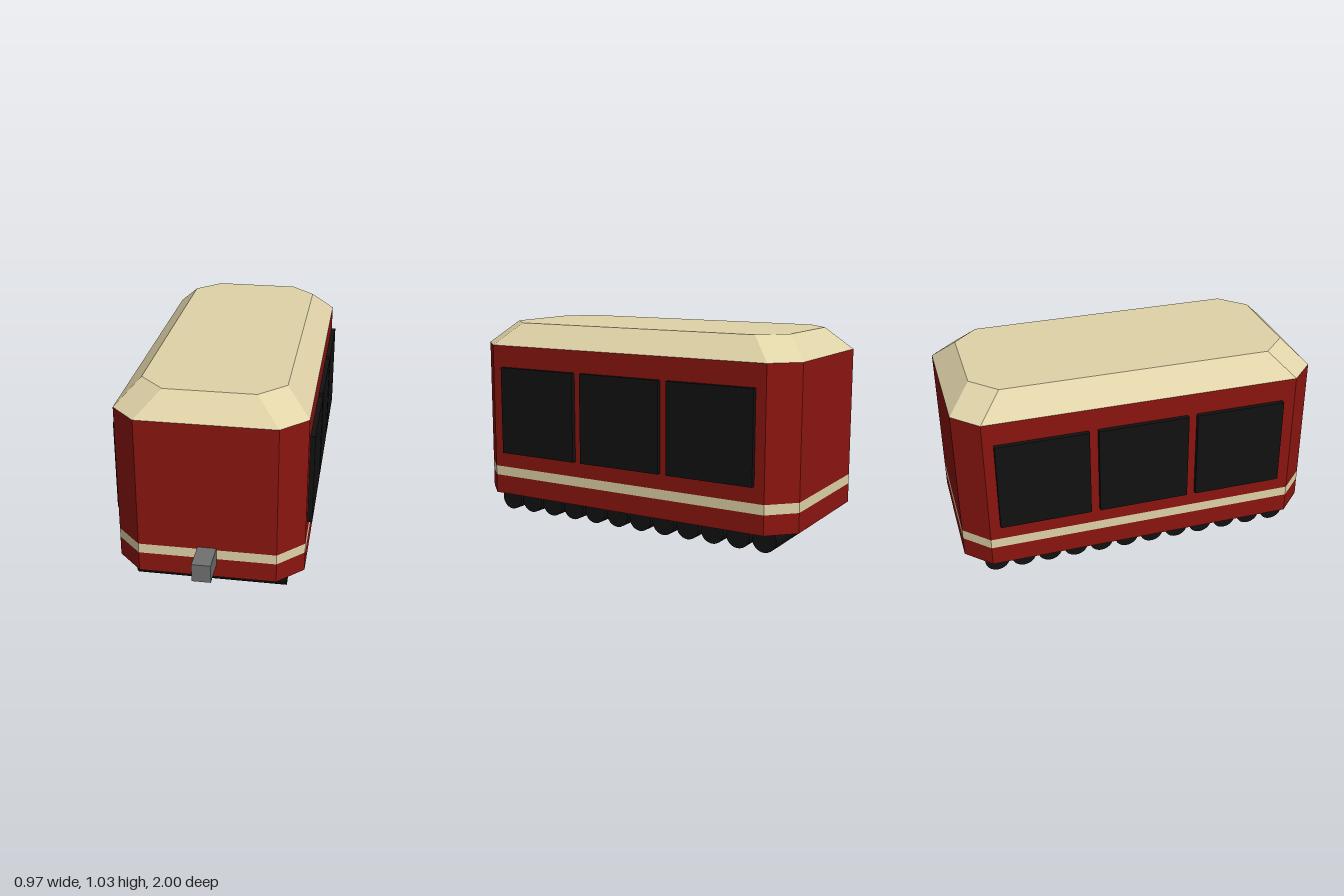
import * as THREE from 'three';

const BODY_Z = -0.075; // body centre, shifted back by the coupler
const CUT = 0.125; // corner chamfer

const mat = (color, flatShading = false) => new THREE.MeshStandardMaterial({ color, flatShading });

// Chamfered rectangle, counter-clockwise from above
function octagon(hx, hz, y) {
  const a = hx - CUT, b = hz - CUT;
  return [[-a, hz], [a, hz], [hx, b], [hx, -b], [a, -hz], [-a, -hz], [-hx, -b], [-hx, b]]
    .map(([x, z]) => [x, y, z + BODY_Z]);
}

// Solid between two octagons, with optional end caps
function loft(lo, hi, capBottom, capTop) {
  const pos = [];
  const tri = (...pts) => pts.forEach((p) => pos.push(...p));
  for (let i = 0; i < 8; i++) {
    const j = (i + 1) % 8;
    tri(lo[i], lo[j], hi[j]);
    tri(lo[i], hi[j], hi[i]);
  }
  for (let i = 1; i < 7; i++) {
    if (capTop) tri(hi[0], hi[i], hi[i + 1]);
    if (capBottom) tri(lo[0], lo[i + 1], lo[i]);
  }
  const g = new THREE.BufferGeometry();
  g.setAttribute('position', new THREE.Float32BufferAttribute(pos, 3));
  g.computeVertexNormals();
  return g;
}

export function createModel() {
  const model = new THREE.Group();
  model.name = 'railCar';
  const red = mat(0x8b1510, true), cream = mat(0xe0d3a8, true);
  const black = mat(0x111111), grey = mat(0x707070);

  const add = (name, geometry, material, x = 0, y = 0, z = 0) => {
    const mesh = new THREE.Mesh(geometry, material);
    mesh.name = name;
    mesh.position.set(x, y, z);
    model.add(mesh);
    return mesh;
  };

  // Car body in stacked bands, then the sloped roof
  const HX = 0.461, HZ = 0.924;
  const ring = (y, inset = 0) => octagon(HX - inset, HZ - inset, y);
  add('lowerBody', loft(ring(0.11), ring(0.21), true, false), red);
  add('stripe', loft(ring(0.21), ring(0.26), false, false), cream);
  add('upperBody', loft(ring(0.26), ring(0.92), false, false), red);
  add('roof', loft(ring(0.92), ring(1.035, 0.115), false, true), cream);

  // Three raised windows on each side
  const pane = new THREE.BoxGeometry(0.05, 0.464, 0.462);
  for (const side of [1, -1]) {
    for (let i = 0; i < 3; i++) {
      add(side > 0 ? 'leftWindow' : 'rightWindow', pane, black, side * 0.46, 0.573, 0.425 - i * 0.508);
    }
  }

  // Row of full-width rollers
  const roller = new THREE.CylinderGeometry(0.063, 0.063, 0.75, 32).rotateZ(Math.PI / 2);
  for (let i = 0; i < 12; i++) {
    add('roller', roller, black, 0, 0.063, 0.689 - i * 0.139);
  }

  // Front coupler
  add('coupler', new THREE.BoxGeometry(0.092, 0.092, 0.17), grey, 0, 0.224, 0.915);
  return model;
}
